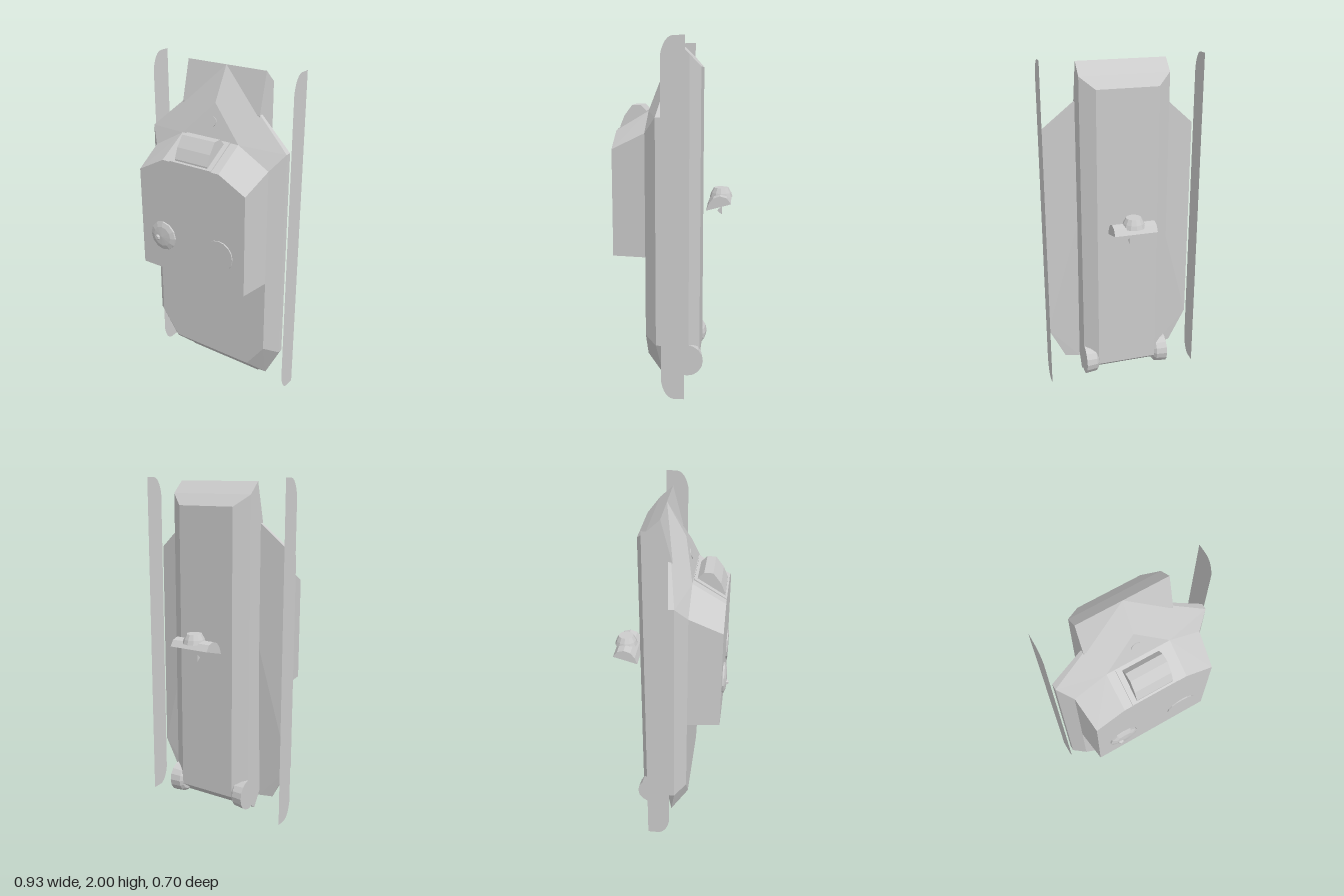
import * as THREE from 'three';
import { ConvexGeometry } from 'three/addons/geometries/ConvexGeometry.js';

const grey = new THREE.MeshStandardMaterial({ color: 0xcccccc, flatShading: true, side: THREE.DoubleSide });

// Convex solid from corner points, each mirrored across x = 0
function mirroredSolid(points) {
  const all = [];
  for (const [x, y, z] of points) {
    all.push(new THREE.Vector3(x, y, z));
    if (x > 0) all.push(new THREE.Vector3(-x, y, z));
  }
  return new ConvexGeometry(all);
}

// Extrudes a [z, y] profile across x, centred on x = 0
function sideProfile(points, width) {
  const shape = new THREE.Shape(points.map(([z, y]) => new THREE.Vector2(z, y)));
  const geo = new THREE.ExtrudeGeometry(shape, { depth: width, bevelEnabled: false });
  return geo.rotateY(-Math.PI / 2).translate(width / 2, 0, 0);
}

function lathe(profile, sides) {
  return new THREE.LatheGeometry(profile.map(([r, h]) => new THREE.Vector2(r, h)), sides);
}

export function createModel() {
  const model = new THREE.Group();
  function add(name, geo, parent = model) {
    const mesh = new THREE.Mesh(geo, grey);
    mesh.name = name;
    parent.add(mesh);
    return mesh;
  }

  // Narrow lower hull with chamfered belly
  add('lowerHull', mirroredSolid([
    [0.26, 1.98, -0.035], [0.26, 1.75, 0.025], [0.26, 0.12, 0.025], [0.26, 0.03, -0.035],
    [0.26, 1.91, -0.11], [0.18, 1.845, -0.17], [0.26, 0.09, -0.11], [0.18, 0.13, -0.17],
  ]));

  // Wide upper hull with pointed nose plates
  add('upperHull', mirroredSolid([
    [0, 1.98, -0.035], [0, 1.79, 0.07], [0.19, 1.6, 0.125], [0.385, 1.49, 0.125],
    [0.455, 1.58, 0.06], [0.455, 1.58, 0.025], [0.455, 0.31, 0.06], [0.455, 0.31, 0.025],
    [0.385, 0.345, 0.125], [0.27, 0.19, 0.125], [0.35, 0.1, 0.03], [0.26, 0.09, 0.025],
  ]));

  // Casemate with tapered sides and angled front
  add('casemate', mirroredSolid([
    [0.385, 0.8, 0.125], [0.385, 1.49, 0.125], [0.19, 1.6, 0.125],
    [0.36, 0.8, 0.31], [0.36, 1.4, 0.31], [0.19, 1.49, 0.31],
  ]));

  // Gun mounting on the casemate front
  add('gunMountPlate', sideProfile([[0.125, 1.59], [0.31, 1.48], [0.31, 1.495], [0.13, 1.605]], 0.28));
  add('gunMount', sideProfile(
    [[0.14, 1.57], [0.30, 1.49], [0.30, 1.51], [0.275, 1.57], [0.23, 1.63], [0.18, 1.63], [0.14, 1.59]], 0.22));

  // Small port on the nose
  const port = add('nosePort', new THREE.CylinderGeometry(0.028, 0.028, 0.012, 12));
  port.rotation.x = Math.PI / 2 - 0.28;
  port.position.set(0, 1.69, 0.098);

  // Roof cupola with an off-centre periscope, and the flat hatch opposite
  const cupola = new THREE.Group();
  cupola.name = 'cupola';
  cupola.rotation.x = Math.PI / 2;
  cupola.position.set(-0.2, 1.02, 0.31);
  model.add(cupola);
  add('cupolaDome', lathe([[0.088, 0], [0.088, 0.01], [0.06, 0.02], [0, 0.025]], 12), cupola);
  add('periscope', new THREE.CylinderGeometry(0.01, 0.022, 0.02, 6), cupola).position.set(-0.028, 0.025, 0.01);
  const hatch = add('roofHatch', new THREE.CylinderGeometry(0.092, 0.092, 0.007, 16));
  hatch.rotation.x = Math.PI / 2;
  hatch.position.set(0.193, 1.005, 0.3135);

  // Thin track side plates and the drive drums
  const plate = new THREE.Shape();
  plate.moveTo(-0.1, 0);
  plate.lineTo(-0.04, 0);
  plate.quadraticCurveTo(0.012, 0.005, 0.03, 0.1);
  plate.lineTo(0.03, 1.9);
  plate.quadraticCurveTo(0.012, 1.995, -0.04, 2);
  plate.lineTo(-0.1, 2);
  for (const [side, s] of [['left', 1], ['right', -1]]) {
    add(side + 'TrackPlate', new THREE.ShapeGeometry(plate, 6).rotateY(-Math.PI / 2).translate(s * 0.467, 0, 0));
    const drum = lathe([[0, 0.18], [0.072, 0.18], [0.088, 0.195], [0.095, 0.26], [0, 0.26]], 16);
    add(side + 'DriveDrum', drum.rotateZ(-s * Math.PI / 2).translate(0, 0.145, -0.1));
  }

  // Detached mantlet: a bent open shell with closed ends and a collar
  const mantlet = new THREE.Group();
  mantlet.name = 'mantlet';
  model.add(mantlet);
  const arc = [[-0.2, 1.02], [-0.215, 1.06], [-0.24, 1.092], [-0.28, 1.106], [-0.32, 1.095], [-0.345, 1.06]];
  const shell = new THREE.PlaneGeometry(0.25, 1, 1, arc.length - 1);
  const pos = shell.attributes.position;
  for (let i = 0; i < pos.count; i++) {
    const [z, y] = arc[Math.floor(i / 2)];
    pos.setXYZ(i, pos.getX(i), y, z);
  }
  shell.computeVertexNormals();
  add('mantletShell', shell, mantlet);
  const end = new THREE.Shape(arc.map(([z, y]) => new THREE.Vector2(z, y)));
  for (const s of [1, -1]) {
    add('mantletEnd', new THREE.ShapeGeometry(end).rotateY(-Math.PI / 2).translate(s * 0.125, 0, 0), mantlet);
  }
  add('mantletCollar', lathe([[0.068, 1.085], [0.06, 1.11], [0.044, 1.14], [0, 1.14]], 12), mantlet)
    .position.z = -0.285;
  add('gunWedge', sideProfile([[-0.265, 1.0], [-0.29, 1.02], [-0.29, 0.98]], 0.05), mantlet);

  return model;
}
